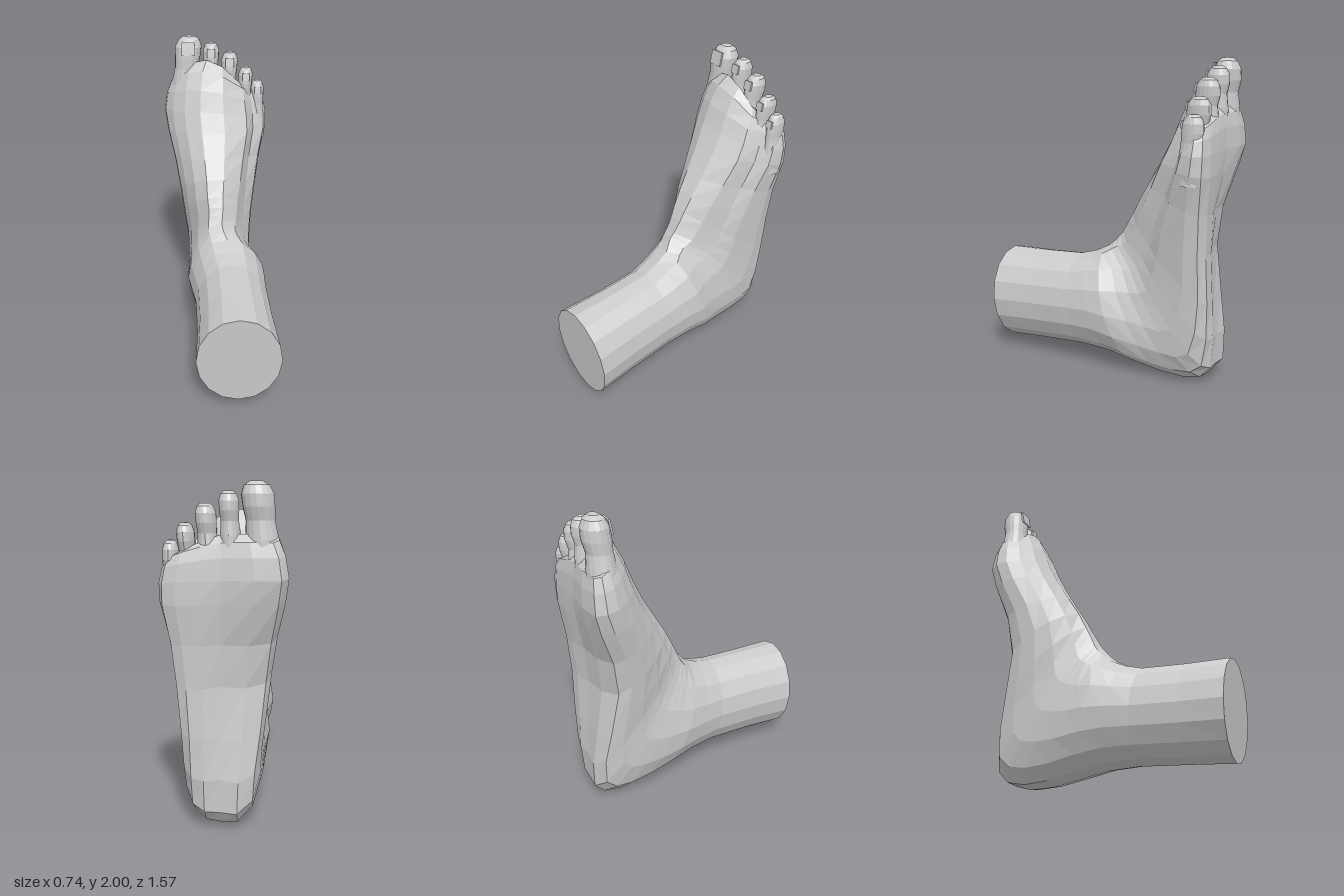
import * as THREE from 'three';

const SIDES = 16;
const mat = new THREE.MeshStandardMaterial({ color: 0xcccccc, flatShading: true });

// Forefoot cross-section: u runs inner (-1) to outer (+1), v runs sole (0) to instep (1).
const FOOT = [
  [0, 0.04], [0.38, 0.01], [0.7, 0], [0.92, 0.05], [1, 0.2], [0.94, 0.42], [0.72, 0.54], [0.58, 0.81],
  [0.14, 0.98], [-0.3, 1], [-0.6, 0.87], [-0.83, 0.66], [-0.97, 0.44], [-1, 0.23], [-0.9, 0.06], [-0.5, 0],
];

// Ring of points; w blends from an ellipse (0) to the forefoot shape (1), the sole edge faster.
// Skew lowers the outer side and rounds the toe line; arch lifts the inner sole.
function ring([yTop, zTop, yBot, zBot, x0, x1, w, skew = 0, arch = 0]) {
  return FOOT.map(([fu, fv], i) => {
    const a = -Math.PI / 2 + (i / SIDES) * Math.PI * 2;
    const k = fv < 0.3 ? Math.min(1, 1.5 * w) : w;
    const u = THREE.MathUtils.lerp(Math.cos(a), fu, k);
    const v = THREE.MathUtils.lerp(0.5 + 0.5 * Math.sin(a), fv, k);
    const drop = skew * (0.9 * u + u * u) * (0.4 + 0.7 * v);
    const lift = arch * Math.max(0, 0.2 - u) * (1 - v);
    return [
      (x0 + x1) / 2 + (u * (x1 - x0)) / 2,
      yBot + (yTop - yBot) * v - drop,
      zBot + (zTop - zBot) * v + lift,
    ];
  });
}

// Closed skin through a list of sections, capped at both ends.
function loft(name, sections) {
  const rings = sections.map(ring);
  const points = rings.flat();
  const index = [];
  const n = rings.length;
  for (let j = 0; j < n - 1; j++) {
    for (let i = 0; i < SIDES; i++) {
      const k = (i + 1) % SIDES;
      const a = j * SIDES + i, b = j * SIDES + k;
      const c = a + SIDES, d = b + SIDES;
      index.push(a, c, b, b, c, d);
    }
  }
  for (const j of [0, n - 1]) {
    const centre = [0, 1, 2].map((q) => rings[j].reduce((s, p) => s + p[q], 0) / SIDES);
    const m = points.push(centre) - 1;
    for (let i = 0; i < SIDES; i++) {
      const a = j * SIDES + i, b = j * SIDES + ((i + 1) % SIDES);
      if (j === 0) index.push(m, a, b);
      else index.push(m, b, a);
    }
  }
  const geo = new THREE.BufferGeometry();
  geo.setAttribute('position', new THREE.Float32BufferAttribute(points.flat(), 3));
  geo.setIndex(index);
  geo.computeVertexNormals();
  const mesh = new THREE.Mesh(geo, mat);
  mesh.name = name;
  return mesh;
}

// Toe shape: [height fraction, width factor, front depth, back depth]
const TOE = [
  [0, 1.1, 1.2, 0.9], [0.4, 1.02, 1.15, 0.85], [0.6, 0.9, 1, 0.75], [0.74, 0.98, 0.98, 0.96],
  [0.87, 1, 0.9, 0.95], [0.96, 0.78, 0.62, 0.72], [1, 0.42, 0.3, 0.4],
];

function toe(name, { base, tip, half, depth, z }) {
  const group = new THREE.Group();
  group.name = name;
  const at = (t) => [
    THREE.MathUtils.lerp(base[0], tip[0], t),
    THREE.MathUtils.lerp(base[1], tip[1], t),
  ];
  group.add(loft(name + 'Body', TOE.map(([t, w, f, b]) => {
    const [x, y] = at(t);
    return [y, z + depth * f, y, z - depth * b, x - half * w, x + half * w, 0];
  })));

  // Nail sunk into the upper face of the tip
  const nail = new THREE.Mesh(new THREE.BoxGeometry(half, half, 0.012), mat);
  const [x, y] = at(0.86);
  nail.position.set(x, y, z + depth * 0.85);
  nail.rotation.x = -0.2;
  nail.name = name + 'Nail';
  group.add(nail);
  return group;
}

export function createModel() {
  const model = new THREE.Group();
  model.name = 'foot';

  // Leg, heel and foot as one skin whose sections fan round the ankle
  // [instep y, z, sole y, z, inner x, outer x, shape blend, skew, arch]
  model.add(loft('legAndFoot', [
    [0.69, 0.79, 0.05, 0.75, -0.16, 0.37, 0],
    [0.7, 0.5, 0.07, 0.48, -0.15, 0.345, 0],
    [0.715, 0.22, 0.09, 0.15, -0.16, 0.33, 0],
    [0.745, 0.11, 0.08, -0.05, -0.19, 0.33, 0],
    [0.79, 0.02, 0.045, -0.22, -0.215, 0.325, 0.05],
    [0.83, -0.02, 0, -0.42, -0.215, 0.275, 0.1],
    [0.865, -0.045, -0.01, -0.58, -0.215, 0.25, 0.18],
    [0.89, -0.065, 0.02, -0.7, -0.215, 0.245, 0.28],
    [0.925, -0.085, 0.1, -0.765, -0.215, 0.245, 0.38],
    [0.97, -0.11, 0.3, -0.775, -0.22, 0.25, 0.5, 0, 0.02],
    [1.03, -0.145, 0.55, -0.76, -0.24, 0.26, 0.62, 0, 0.06],
    [1.13, -0.2, 0.85, -0.745, -0.265, 0.285, 0.76, 0, 0.1],
    [1.25, -0.275, 1.1, -0.755, -0.3, 0.312, 0.9, 0, 0.08],
    [1.4, -0.365, 1.33, -0.78, -0.35, 0.355, 1, 0, 0.03],
    [1.53, -0.43, 1.47, -0.78, -0.37, 0.355, 1, 0.03],
    [1.66, -0.48, 1.59, -0.77, -0.35, 0.335, 1, 0.07],
    [1.77, -0.535, 1.67, -0.75, -0.315, 0.31, 1, 0.11],
    [1.83, -0.59, 1.71, -0.71, -0.24, 0.25, 1, 0.13],
  ]));

  // Toes, from the inner side outwards
  const toes = {
    bigToe: { base: [-0.24, 1.48], tip: [-0.185, 2], half: 0.09, depth: 0.088, z: -0.675 },
    secondToe: { base: [-0.05, 1.55], tip: [-0.035, 1.95], half: 0.056, depth: 0.075, z: -0.685 },
    thirdToe: { base: [0.07, 1.48], tip: [0.095, 1.885], half: 0.058, depth: 0.078, z: -0.68 },
    fourthToe: { base: [0.185, 1.4], tip: [0.208, 1.78], half: 0.05, depth: 0.078, z: -0.68 },
    littleToe: { base: [0.295, 1.28], tip: [0.288, 1.685], half: 0.046, depth: 0.07, z: -0.685 },
  };
  for (const [name, spec] of Object.entries(toes)) model.add(toe(name, spec));

  return model;
}
